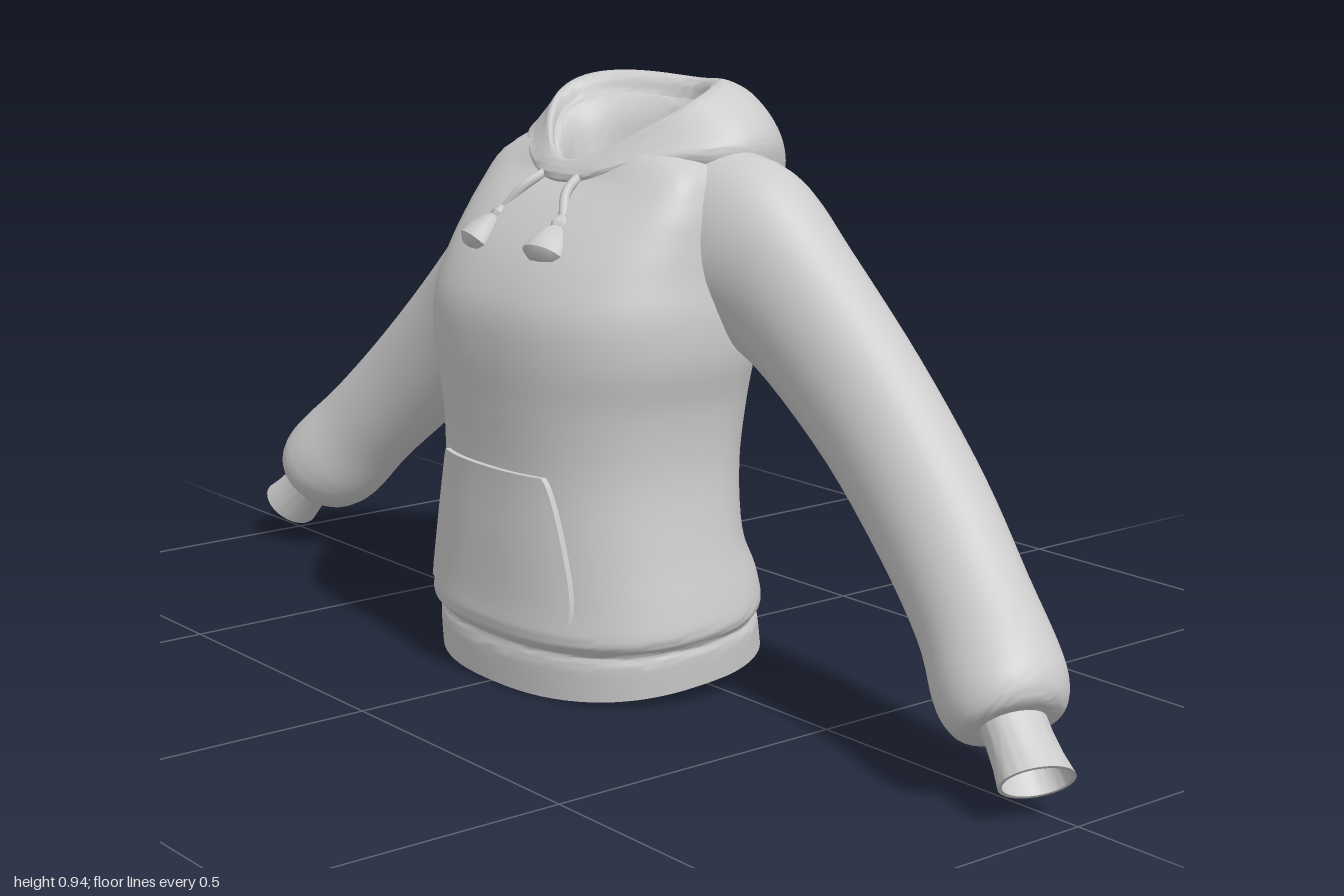
import * as THREE from 'three';
import { toCreasedNormals } from 'three/addons/utils/BufferGeometryUtils.js';

const V = (x, y, z) => new THREE.Vector3(x, y, z);
const material = new THREE.MeshStandardMaterial({ color: 0xcccccc, side: THREE.DoubleSide });

// Smooth interpolation through rows of numbers, `steps` samples per interval
function smooth(keys, steps) {
  const out = [], last = keys.length - 1;
  for (let i = 0; i < last; i++) {
    const [a, b, c, d] = [keys[Math.max(i - 1, 0)], keys[i], keys[i + 1], keys[Math.min(i + 2, last)]];
    for (let s = 0; s < steps; s++) {
      const t = s / steps;
      out.push(b.map((v, k) => v + 0.5 * t * (c[k] - a[k]
        + t * (2 * a[k] - 5 * v + 4 * c[k] - d[k] + t * (3 * (v - c[k]) + d[k] - a[k])))));
    }
  }
  out.push(keys[last]);
  return out;
}

// A ring with all points at the centre, used to close an end
function centreRing(ring) {
  const c = V(0, 0, 0);
  ring.forEach(p => c.add(p));
  c.divideScalar(ring.length);
  return ring.map(() => c.clone());
}

// Skin a list of rings; open = grid instead of tube
function loft(name, rings, { side = 1, open = false, crease = 0.8 } = {}) {
  const n = rings[0].length, pos = [], idx = [];
  rings.forEach(r => (side < 0 ? [...r].reverse() : r).forEach(p => pos.push(p.x * side, p.y, p.z)));
  for (let i = 0; i < rings.length - 1; i++) {
    for (let j = 0; j < (open ? n - 1 : n); j++) {
      const k = (j + 1) % n, a = i * n + j, b = i * n + k, c = b + n, d = a + n;
      idx.push(a, b, c, a, c, d);
    }
  }
  const g = new THREE.BufferGeometry();
  g.setAttribute('position', new THREE.Float32BufferAttribute(pos, 3));
  g.setIndex(idx);
  const mesh = new THREE.Mesh(toCreasedNormals(g, crease), material);
  mesh.name = name;
  return mesh;
}

const spow = (v, e) => Math.sign(v) * Math.pow(Math.abs(v), e);

// Horizontal ring: half width, front z, back z, then heights at front, side and back.
// power squares it off, point narrows it at front and back
function bodyRing([w, zf, zb, yF, yS, yB], power, point, mid, n = 72) {
  const c = mid ?? (zf + zb) / 2, a = ((yF + yB) / 2 + yS) / 2;
  return Array.from({ length: n }, (_, j) => {
    const t = (j / n) * Math.PI * 2, co = Math.cos(t), si = Math.sin(t);
    const x = w * spow(si, 2 / power) * (1 - point * co * co);
    const z = c + (co > 0 ? zf - c : c - zb) * spow(co, 2 / power);
    return V(x, a + (yF - yB) / 2 * co + (a - yS) * Math.cos(2 * t), z);
  });
}

// Ring across a sleeve: centre, direction, half height, half depth
function armRing([x, y, z, dx, dy, dz, hh, hz], n = 40) {
  const D = V(dx, dy, dz).normalize();
  const U = V(0, 0, 1).cross(D).normalize(), W = D.clone().cross(U);
  return Array.from({ length: n }, (_, j) => {
    const t = (j / n) * Math.PI * 2;
    return V(x, y, z).addScaledVector(U, hh * Math.cos(t)).addScaledVector(W, hz * Math.sin(t));
  });
}

const MID = 0.04, POWER = 2.4;
const torsoRows = smooth([
  [0.283, 0.258, -0.172, 0.003, 0.03, 0.058],
  [0.287, 0.26, -0.158, 0.06, 0.08, 0.11],
  [0.284, 0.256, -0.148, 0.078, 0.095, 0.122],
  [0.297, 0.272, -0.158, 0.1, 0.115, 0.145],
  [0.29, 0.268, -0.15, 0.15, 0.16, 0.19],
  [0.272, 0.265, -0.125, 0.24, 0.24, 0.25],
  [0.257, 0.262, -0.13, 0.35, 0.35, 0.35],
  [0.262, 0.268, -0.145, 0.45, 0.45, 0.45],
  [0.28, 0.274, -0.152, 0.53, 0.53, 0.53],
  [0.282, 0.27, -0.157, 0.6, 0.6, 0.6],
  [0.272, 0.245, -0.16, 0.66, 0.66, 0.66],
  [0.265, 0.21, -0.165, 0.71, 0.71, 0.71],
  [0.255, 0.165, -0.165, 0.755, 0.765, 0.77],
  [0.225, 0.125, -0.15, 0.785, 0.82, 0.82],
  [0.14, 0.115, -0.13, 0.79, 0.85, 0.85],
], 5);

// Depth of the torso's front surface at x, y
function frontZ(x, y) {
  const i = Math.max(1, torsoRows.findIndex(r => r[3] >= y));
  const [a, b] = [torsoRows[i - 1], torsoRows[i]], t = (y - a[3]) / (b[3] - a[3]);
  const w = a[0] + (b[0] - a[0]) * t, zf = a[1] + (b[1] - a[1]) * t;
  return MID + (zf - MID) * Math.pow(Math.max(0, 1 - Math.pow(Math.abs(x) / w, POWER)), 1 / POWER);
}

function buildPocket() {
  const rows = 20, cols = 28, rings = [];
  for (let i = -1; i <= rows + 1; i++) {
    const v = THREE.MathUtils.clamp(i / rows, 0, 1), y = 0.135 + 0.22 * v, row = [];
    const half = 0.128 + 0.064 * Math.pow(1 - v, 0.75) - 0.01 * Math.pow(1 - v, 8);
    for (let j = -1; j <= cols + 1; j++) {
      const x = half * (THREE.MathUtils.clamp(j / cols, 0, 1) * 2 - 1);
      const rim = i < 0 || i > rows || j < 0 || j > cols;
      row.push(V(x, y, frontZ(x, y) + (rim ? -0.01 : 0.009)));
    }
    rings.push(row);
  }
  return loft('frontPocket', rings, { open: true });
}

function buildHood() {
  const rings = smooth([
    [0.195, 0.1, -0.14, 0.78, 0.785, 0.61],
    [0.232, 0.122, -0.2, 0.785, 0.805, 0.56],
    [0.246, 0.126, -0.252, 0.795, 0.833, 0.63],
    [0.242, 0.122, -0.275, 0.803, 0.86, 0.74],
    [0.225, 0.116, -0.26, 0.812, 0.885, 0.83],
    [0.195, 0.11, -0.22, 0.818, 0.91, 0.9],
    [0.168, 0.105, -0.17, 0.82, 0.922, 0.93],
    [0.15, 0.1, -0.145, 0.814, 0.912, 0.925],
    [0.143, 0.096, -0.132, 0.806, 0.89, 0.9],
    [0.13, 0.092, -0.125, 0.802, 0.885, 0.895],
    [0.112, 0.085, -0.105, 0.79, 0.85, 0.86],
    [0.1, 0.075, -0.09, 0.77, 0.79, 0.79],
  ], 5).map(r => bodyRing(r, 2, 0.28));
  rings.push(centreRing(rings.at(-1)));
  return loft('hood', rings);
}

function buildSleeve(side) {
  const group = new THREE.Group();
  group.name = side > 0 ? 'leftSleeve' : 'rightSleeve';
  const sleeve = smooth([
    [0.15, 0.67, -0.04, 1, -0.1, 0, 0.18, 0.11],
    [0.24, 0.67, -0.055, 0.9, -0.4, 0, 0.167, 0.115],
    [0.34, 0.625, -0.067, 0.78, -0.62, 0, 0.125, 0.098],
    [0.5, 0.495, -0.07, 0.74, -0.67, 0, 0.109, 0.088],
    [0.65, 0.36, -0.055, 0.73, -0.68, 0, 0.101, 0.087],
    [0.77, 0.25, -0.025, 0.71, -0.7, 0.05, 0.094, 0.086],
    [0.84, 0.18, 0.0, 0.7, -0.7, 0.1, 0.097, 0.095],
    [0.875, 0.147, 0.012, 0.68, -0.7, 0.15, 0.09, 0.092],
    [0.895, 0.126, 0.02, 0.67, -0.7, 0.2, 0.07, 0.076],
    [0.898, 0.124, 0.022, 0.66, -0.7, 0.25, 0.035, 0.04],
  ], 5).map(r => armRing(r));
  // Flared cuff: outside wall, lip, then the inside wall
  const cuff = [
    [0.885, 0.138, 0.02, 0.043, 0.05], [0.915, 0.108, 0.028, 0.042, 0.05],
    [0.94, 0.084, 0.035, 0.044, 0.053], [0.961, 0.064, 0.041, 0.048, 0.058],
    [0.961, 0.064, 0.041, 0.042, 0.052], [0.935, 0.089, 0.034, 0.038, 0.047],
    [0.9, 0.122, 0.024, 0.034, 0.042],
  ].map(([x, y, z, hh, hz]) => armRing([x, y, z, 0.66, -0.69, 0.28, hh, hz]));
  cuff.push(centreRing(cuff.at(-1)));
  group.add(loft('sleeve', sleeve, { side }), loft('cuff', cuff, { side }));
  return group;
}

function buildDrawstring(side) {
  const group = new THREE.Group();
  group.name = side > 0 ? 'leftDrawstring' : 'rightDrawstring';
  const path = new THREE.CatmullRomCurve3([
    V(0.04 * side, 0.8, 0.108), V(0.055 * side, 0.775, 0.148), V(0.08 * side, 0.735, 0.172)]);
  const cord = new THREE.Mesh(new THREE.TubeGeometry(path, 12, 0.008, 8), material);
  cord.name = 'cord';
  // Tassel profile runs from the knot down to the frayed end
  const profile = [[0, 0.085], [0.024, 0.083], [0.038, 0.073], [0.034, 0.055], [0.022, 0.03],
    [0.014, 0.022], [0.017, 0.014], [0.012, 0.002], [0, 0]].map(p => new THREE.Vector2(...p));
  const tassel = new THREE.Mesh(
    toCreasedNormals(new THREE.LatheGeometry(profile.reverse(), 16), 0.8), material);
  tassel.name = 'tassel';
  tassel.scale.set(1, 1, 0.75);
  tassel.position.set(0.079 * side, 0.742, 0.168);
  tassel.quaternion.setFromUnitVectors(V(0, 1, 0), V(0.15 * side, -0.72, 0.66).normalize());
  group.add(cord, tassel);
  return group;
}

export function createModel() {
  const model = new THREE.Group();
  model.name = 'hoodedSweatshirt';
  // Torso with hem band, closed underneath
  const torso = torsoRows.map(r => bodyRing(r, POWER, 0, MID));
  torso.unshift(centreRing(torso[0]));
  model.add(loft('torso', torso), buildPocket(), buildHood());
  for (const side of [1, -1]) model.add(buildSleeve(side), buildDrawstring(side));
  return model;
}
